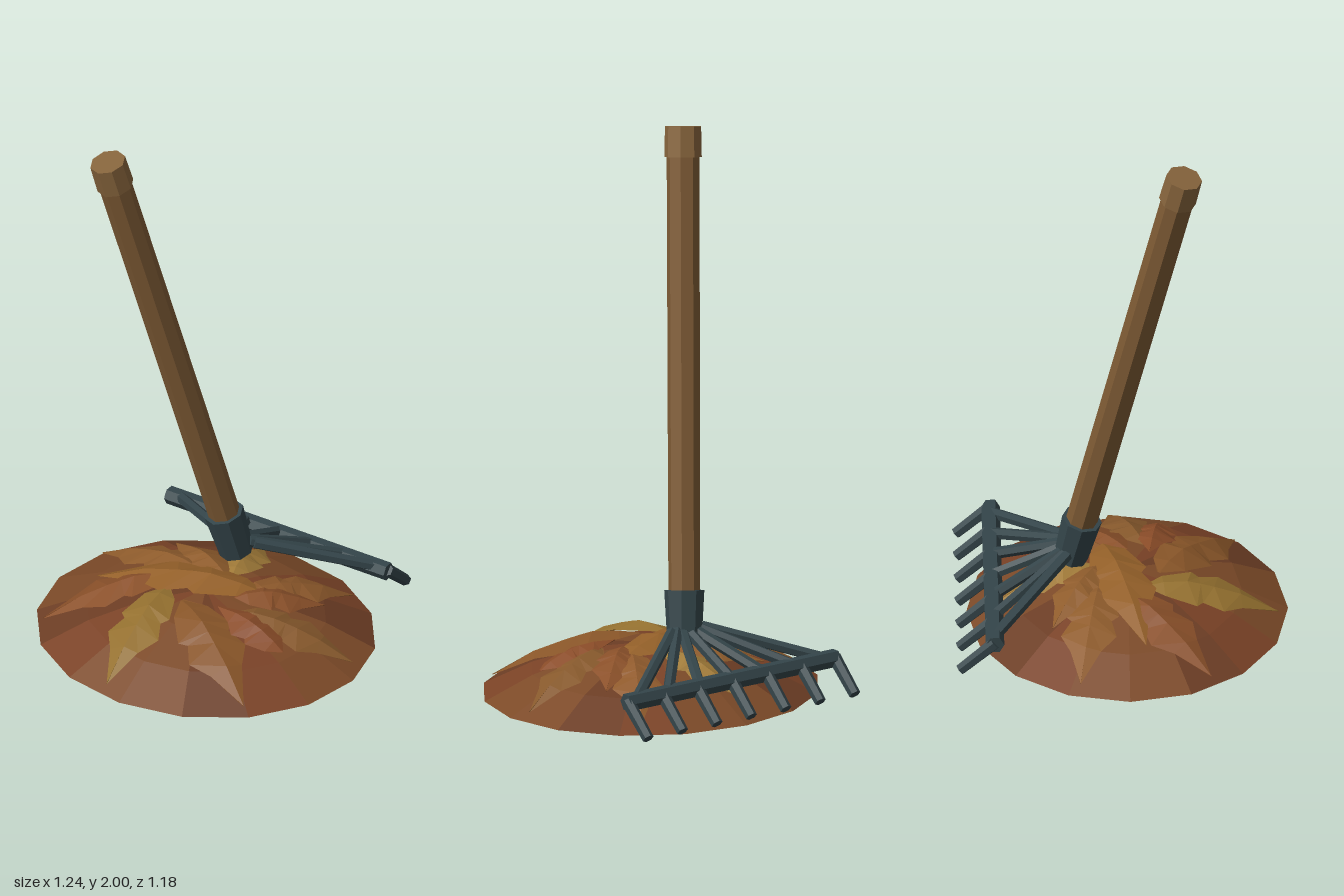
import * as THREE from 'three';

const V = (x, y, z) => new THREE.Vector3(x, y, z);
const mat = (color, extra = {}) => new THREE.MeshStandardMaterial({ color, flatShading: true, ...extra });

const METAL = mat(0x34454a);
const WOOD = mat(0x7d5a34);
const WOOD_END = mat(0x86643c);

// Faceted rod running from a to b
function rod(name, a, b, rA, rB, sides, material) {
  const dir = b.clone().sub(a);
  const mesh = new THREE.Mesh(new THREE.CylinderGeometry(rB, rA, dir.length(), sides), material);
  mesh.position.copy(a).add(b).multiplyScalar(0.5);
  mesh.quaternion.setFromUnitVectors(V(0, 1, 0), dir.normalize());
  mesh.name = name;
  return mesh;
}

// Pile profile: radius, height (slightly squashed along z)
const PROFILE = [[0.62, 0], [0.44, 0.085], [0.24, 0.145], [0, 0.172]];
const SQUASH = 0.92, PILE_Z = 0.02;

function pileHeight(x, z) {
  const r = Math.hypot(x, (z - PILE_Z) / SQUASH);
  for (let i = 1; i < PROFILE.length; i++) {
    const [r0, y0] = PROFILE[i - 1], [r1, y1] = PROFILE[i];
    if (r >= r1) return Math.max(0, y0 + (y1 - y0) * (r0 - r) / (r0 - r1));
  }
  return 0;
}

// Leaf rows: position along the midrib, half width, ridge height
const LEAF_ROWS = [
  [0, 0.05, 0.2], [0.14, 0.6, 0.7], [0.32, 0.95, 1], [0.42, 0.72, 1],
  [0.52, 1, 0.95], [0.72, 0.55, 0.75], [1, 0, 0.3],
];

// Toothed leaf folded along its midrib and draped over the pile
function leaf([x0, z0, x1, z1, halfWidth, lift, color]) {
  const dx = x1 - x0, dz = z1 - z0, len = Math.hypot(dx, dz);
  const pos = [], idx = [];
  LEAF_ROWS.forEach(([t, w, ridge], row) => {
    for (const side of [-1, 0, 1]) {
      // edges sweep toward the tip so that the teeth point forwards
      const s = t + (row === 2 || row === 4 ? 0.05 * Math.abs(side) : 0);
      const off = side * w * halfWidth;
      const x = x0 + dx * s - (dz / len) * off;
      const z = z0 + dz * s + (dx / len) * off;
      pos.push(x, pileHeight(x, z) + lift + (side === 0 ? 0.03 * ridge : 0.006), z);
    }
    if (row === 0) return;
    for (let k = 0; k < 2; k++) {
      const a = (row - 1) * 3 + k, b = a + 1, c = a + 3, d = a + 4;
      idx.push(a, b, c, b, d, c);
    }
  });
  const geo = new THREE.BufferGeometry();
  geo.setAttribute('position', new THREE.Float32BufferAttribute(pos, 3));
  geo.setIndex(idx);
  geo.computeVertexNormals();
  const mesh = new THREE.Mesh(geo, mat(color, { side: THREE.DoubleSide }));
  mesh.name = 'leaf';
  return mesh;
}

function createLeafPile() {
  const pile = new THREE.Group();
  pile.name = 'leafPile';

  // Sixteen-sided mound with brown tones varying by sector
  const sides = 16;
  const geo = new THREE.LatheGeometry(PROFILE.map(([r, y]) => new THREE.Vector2(r, y)), sides);
  const perSector = geo.index.count / sides;
  for (let i = 0; i < sides; i++) geo.addGroup(i * perSector, perSector, (i * 5 + (i >> 2)) % 3);
  const mound = new THREE.Mesh(geo, [0x7c4a28, 0x7a4226, 0x6c3d24].map((c) => mat(c)));
  mound.name = 'mound';

  // Flat dark underside
  const base = new THREE.Mesh(new THREE.CircleGeometry(0.62, sides), mat(0x382418));
  base.rotation.x = Math.PI / 2;
  base.name = 'moundBase';

  for (const m of [mound, base]) {
    m.position.z = PILE_Z;
    pile.add(m);
  }
  base.scale.y = mound.scale.z = SQUASH;

  // Leaves: stem x, z, tip x, z, half width, lift, colour
  const leaves = [
    [-0.10, -0.08, -0.55, -0.155, 0.10, 0.008, 0x8f5c2c],
    [-0.14, -0.01, -0.50, 0.31, 0.10, 0.008, 0x8a5029],
    [-0.12, 0.08, -0.075, 0.555, 0.10, 0.010, 0x94702f],
    [-0.03, 0.13, 0.41, 0.41, 0.11, 0.008, 0x885528],
    [0.17, 0.08, 0.58, -0.04, 0.09, 0.006, 0x87592c],
    [0.40, 0.14, 0.10, 0.10, 0.08, 0.012, 0x8a4c28],
    [0.13, -0.04, 0.35, -0.40, 0.09, 0.008, 0x8f5a2c],
    [0.03, -0.10, -0.05, -0.44, 0.08, 0.008, 0xa07a38],
    [0.02, -0.08, -0.30, -0.25, 0.08, 0.012, 0x8f5c2c],
    [0.12, 0.02, 0.36, -0.20, 0.08, 0.012, 0x8a5029],
    [0.19, -0.07, -0.42, 0.08, 0.11, 0.014, 0x946029],
  ];
  leaves.forEach((l) => pile.add(leaf(l)));
  return pile;
}

function createRake() {
  const rake = new THREE.Group();
  rake.name = 'rake';

  // Handle axis, leaning to the right and forwards
  const low = V(0, 0.225, -0.18), high = V(-0.288, 1.982, 0.217);
  const at = (t) => low.clone().lerp(high, t);
  rake.add(rod('socket', at(0), at(0.098), 0.062, 0.072, 8, METAL));
  rake.add(rod('handle', at(0.05), at(0.96), 0.057, 0.059, 8, WOOD));
  rake.add(rod('handleCap', at(0.94), at(1), 0.067, 0.065, 8, WOOD_END));

  // Cross bar with fan of struts and angled tines
  const barY = 0.145, barZ = -0.457;
  rake.add(rod('crossBar', V(-0.463, barY, barZ), V(0.463, barY, barZ), 0.033, 0.033, 6, METAL));
  for (let i = -3; i <= 3; i++) {
    const startX = i * 0.022, tineX = i * 0.152;
    rake.add(rod('strut', V(startX, 0.27, -0.195), V(i * 0.138, 0.152, barZ), 0.021, 0.021, 6, METAL));
    rake.add(rod('tine', V(tineX, barY + 0.005, barZ), V(tineX, 0.04, -0.58), 0.024, 0.021, 6, METAL));
  }
  return rake;
}

export function createModel() {
  const model = new THREE.Group();
  model.name = 'rakeAndLeafPile';
  model.add(createLeafPile(), createRake());
  return model;
}
